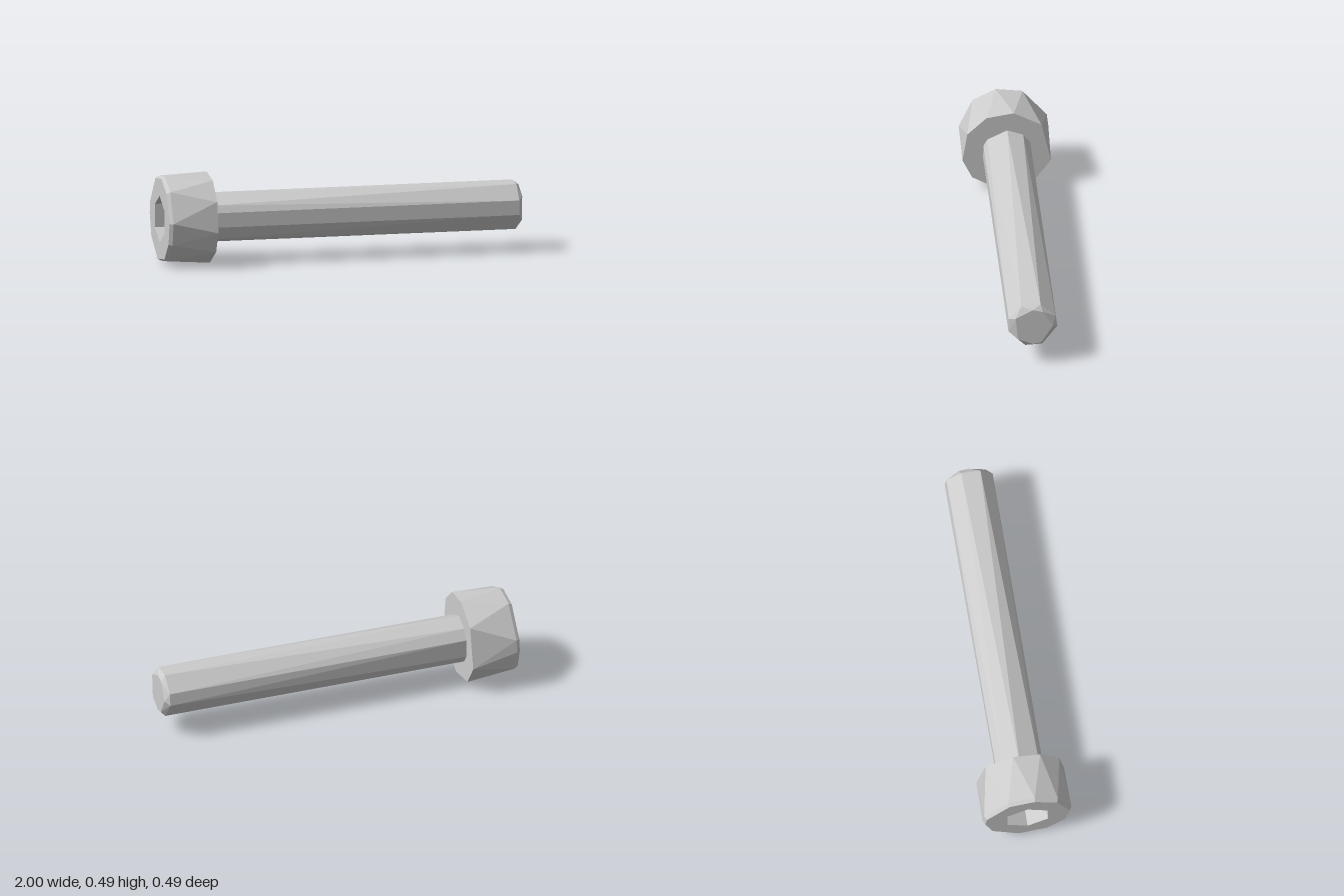
import * as THREE from 'three';

const AXIS_Y = 0.247;
const material = new THREE.MeshStandardMaterial({ color: 0xcccccc, flatShading: true });

// A ring of corners around the bolt axis (x); angles in degrees from +z towards +y.
const ring = (x, r, angles) => ({ x, r, angles });

// Skin neighbouring rings, which may have different numbers of corners.
function skin(rings) {
  const positions = [];
  const corner = (g, i) => {
    const a = THREE.MathUtils.degToRad(g.angles[i % g.angles.length]);
    return [g.x, AXIS_Y + g.r * Math.sin(a), g.r * Math.cos(a)];
  };
  const angle = (g, i) => {
    const n = g.angles.length;
    return g.angles[i % n] + 360 * Math.floor(i / n);
  };
  for (let k = 0; k < rings.length - 1; k++) {
    const A = rings[k], B = rings[k + 1];
    const nA = A.angles.length, nB = B.angles.length;
    let i = 0, j = 0;
    while (i < nA || j < nB) {
      const stepA = j >= nB ||
        (i < nA && angle(A, i) + angle(A, i + 1) <= angle(B, j) + angle(B, j + 1));
      const third = stepA ? corner(A, i + 1) : corner(B, j + 1);
      // Rings of zero radius are cap centres: leave out their empty triangles
      if ((stepA ? A.r : B.r) > 0) positions.push(...corner(A, i), ...corner(B, j), ...third);
      if (stepA) i++; else j++;
    }
  }
  const geometry = new THREE.BufferGeometry();
  geometry.setAttribute('position', new THREE.Float32BufferAttribute(positions, 3));
  geometry.computeVertexNormals();
  return geometry;
}

function part(name, rings) {
  const mesh = new THREE.Mesh(skin(rings), material);
  mesh.name = name;
  return mesh;
}

export function createModel() {
  const group = new THREE.Group();
  group.name = 'socketHeadBolt';

  const hex = [-90, -30, 30, 90, 150, 210];
  const headOuter = [-61, -27, 3, 46, 80, 115, 165, 182, 213, 258];
  const headInner = [-80, -40, -11, 29, 63, 98.5, 139, 196, 235];
  const shaftBase = [-53, -16, 18, 37, 90, 130, 158, 203, 230, 270];
  const shaftEnd = [-73, -16, 18, 63, 109, 157, 186, 247];
  const tip = [-42, 32, 90, 120, 178, 245, 270];

  // Head: socket floor, hexagonal wall, end face, chamfer, side, underside
  group.add(part('head', [
    ring(-0.86, 0, hex),
    ring(-0.86, 0.128, hex),
    ring(-1, 0.128, hex),
    ring(-1, 0.232, headOuter),
    ring(-0.98, 0.244, headOuter),
    ring(-0.73, 0.248, headInner),
    ring(-0.73, 0.135, shaftBase),
  ]));

  // Shaft with a chamfered tip
  group.add(part('shaft', [
    ring(-0.73, 0.136, shaftBase),
    ring(0.975, 0.136, shaftEnd),
    ring(1, 0.11, tip),
    ring(1, 0, tip),
  ]));

  return group;
}
